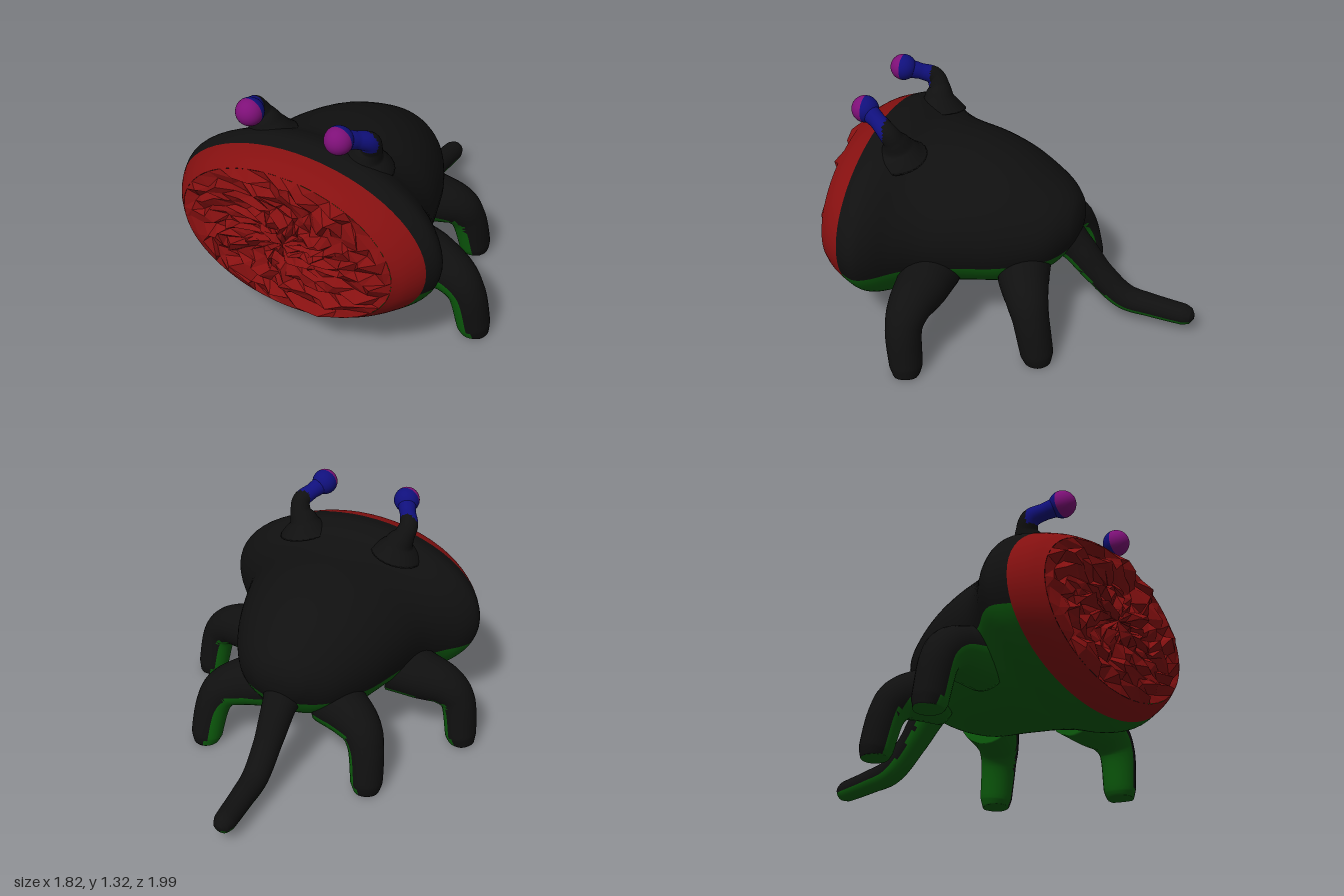
import * as THREE from 'three';
import { mergeVertices } from 'three/addons/utils/BufferGeometryUtils.js';

const V = (x, y, z) => new THREE.Vector3(x, y, z);
const mat = (color, flatShading = false) =>
  new THREE.MeshStandardMaterial({ color, flatShading, side: THREE.DoubleSide });
const MATS = {
  black: mat(0x101010), green: mat(0x0c5c0c), red: mat(0x861010),
  blue: mat(0x10107c), purple: mat(0x7e1078),
};

// Seeded random numbers for the torn mouth
let seed = 7;
const rand = () => {
  seed = (seed * 16807) % 2147483647;
  return seed / 2147483647;
};

// Skin closed rings of equal length, back to front along their axis
function loft(rings) {
  const n = rings[0].length, index = [];
  for (let i = 0; i < rings.length - 1; i++)
    for (let j = 0; j < n; j++) {
      const a = i * n + j, b = i * n + (j + 1) % n;
      index.push(a, b, a + n, b, b + n, a + n);
    }
  let geo = new THREE.BufferGeometry().setFromPoints(rings.flat());
  geo.setIndex(index);
  geo = mergeVertices(geo, 1e-5);
  geo.computeVertexNormals();
  return geo;
}

// Divide a smooth surface into colour zones that share their normals
function zones(name, geo, pick) {
  const group = new THREE.Group();
  group.name = name;
  const p = geo.attributes.position, idx = geo.index.array, sets = {};
  const t = new THREE.Triangle(), c = V(), n = V();
  for (let i = 0; i < idx.length; i += 3) {
    t.setFromAttributeAndIndices(p, idx[i], idx[i + 1], idx[i + 2]);
    if (t.getArea() < 1e-9) continue;
    t.getMidpoint(c);
    t.getNormal(n);
    (sets[pick(c, n)] ??= []).push(idx[i], idx[i + 1], idx[i + 2]);
  }
  for (const [key, list] of Object.entries(sets)) {
    const g = new THREE.BufferGeometry();
    g.setAttribute('position', p);
    g.setAttribute('normal', geo.attributes.normal);
    g.setIndex(list);
    const mesh = new THREE.Mesh(g, MATS[key]);
    mesh.name = `${name} ${key} zone`;
    group.add(mesh);
  }
  return group;
}

// Tapered limb through [x, y, z, radius] points, closed at both ends
function limb(points, ref, steps = 8, sides = 24) {
  const curve = new THREE.CatmullRomCurve3(points.map(p => V(p[0], p[1], p[2])));
  const count = (points.length - 1) * steps, rings = [];
  const ring = (t, r) => {
    const c = curve.getPoint(t), d = curve.getTangent(t);
    const u = ref.clone().addScaledVector(d, -ref.dot(d)).normalize();
    const v = d.clone().cross(u);
    rings.push(Array.from({ length: sides }, (_, j) => {
      const a = j / sides * Math.PI * 2;
      const q = c.clone().addScaledVector(u, r * Math.cos(a)).addScaledVector(v, r * Math.sin(a));
      q.y = Math.max(q.y, 0);
      return q;
    }));
  };
  ring(0, 0);
  for (let i = 0; i <= count; i++) {
    const k = Math.min(Math.floor(i / steps), points.length - 2), f = i / steps - k;
    ring(i / count, THREE.MathUtils.lerp(points[k][3], points[k + 1][3], f));
  }
  ring(1, 0);
  return loft(rings);
}

// Body stations: z, half width, top, bottom
const STATIONS = [
  [-0.345, 0, 0.62, 0.62], [-0.335, 0.09, 0.68, 0.54], [-0.3, 0.175, 0.75, 0.46],
  [-0.2, 0.3, 0.83, 0.34], [0, 0.42, 0.94, 0.24], [0.2, 0.495, 1.0, 0.215],
  [0.4, 0.56, 1.025, 0.19], [0.52, 0.64, 1.045, 0.165], [0.62, 0.735, 1.085, 0.135],
  [0.7, 0.775, 1.1, 0.13], [0.79, 0.74, 1.08, 0.155], [0.87, 0.685, 1.055, 0.18],
  [0.93, 0.625, 1.02, 0.21],
];
const BELLY = 0.48;

function buildBody() {
  const widths = new THREE.CatmullRomCurve3(STATIONS.map(s => V(s[0], s[1], 0)), false, 'catmullrom');
  const heights = new THREE.CatmullRomCurve3(STATIONS.map(s => V(s[0], s[2], s[3])), false, 'catmullrom');
  const rings = [], half = 36, count = (STATIONS.length - 1) * 5;
  for (let i = 0; i <= count; i++) {
    const { x: z, y: w } = widths.getPoint(i / count);
    const { y: top, z: bottom } = heights.getPoint(i / count);
    const cy = (top + bottom) / 2, h = Math.max((top - bottom) / 2, 1e-6);
    // Each ring starts on the belly line, so the colour border is straight
    const a0 = Math.asin(THREE.MathUtils.clamp((BELLY - cy) / h, -1, 1));
    rings.push(Array.from({ length: half * 2 }, (_, j) => {
      const a = j < half
        ? a0 + (Math.PI - 2 * a0) * j / half
        : Math.PI - a0 + (Math.PI + 2 * a0) * (j - half) / half;
      return V(Math.max(w, 0) * Math.cos(a), cy + h * Math.sin(a), z);
    }));
  }
  return zones('body', loft(rings), c => c.z > 0.79 ? 'red' : c.y < BELLY ? 'green' : 'black');
}

// Ragged disc filling the front of the body
function buildMouth() {
  const rings = [], sides = 40, count = 10;
  for (let i = 0; i <= count; i++) {
    const r = 1 - i / count;
    rings.push(Array.from({ length: sides }, (_, j) => {
      const inner = i > 0 && i < count;
      const a = (j + (inner ? (rand() - 0.5) * 1.1 : 0)) / sides * Math.PI * 2;
      const q = r + (inner ? (rand() - 0.5) * 0.1 : 0);
      const z = i === 0 ? 0.93 : i === count ? 0.94 : 0.915 + rand() ** 2 * 0.075;
      return V(0.625 * q * Math.cos(a), 0.615 + 0.405 * q * Math.sin(a), z);
    }));
  }
  const mesh = new THREE.Mesh(loft(rings), mat(0x861010, true));
  mesh.name = 'mouth';
  return mesh;
}

function buildLeg(name, s, points) {
  const geo = limb(points.map(([x, y, z, r]) => [s * x, y, z, r]), V(0, 0, 1));
  const inward = V(-s, -0.9, 0.25).normalize();
  return zones(name, geo, (c, n) => n.dot(inward) > 0.2 ? 'green' : 'black');
}

function buildEye(name, s) {
  const group = new THREE.Group();
  group.name = name;
  const stalk = limb([
    [s * 0.285, 1.0, 0.6, 0.15], [s * 0.3, 1.07, 0.605, 0.085], [s * 0.325, 1.125, 0.615, 0.058],
    [s * 0.335, 1.175, 0.645, 0.052], [s * 0.3, 1.21, 0.71, 0.045], [s * 0.257, 1.24, 0.79, 0.055],
  ], V(1, 0, 0));
  group.add(zones(`${name} stalk`, stalk, c => c.z > 0.65 && c.y > 1.13 ? 'blue' : 'black'));
  // Eyeball: purple front half, blue back half
  for (const [part, colour, turn] of [['front', 'purple', 1], ['back', 'blue', -1]]) {
    const ball = new THREE.Mesh(
      new THREE.SphereGeometry(0.073, 28, 12, 0, Math.PI * 2, 0, Math.PI / 2), MATS[colour]);
    ball.rotation.x = turn * Math.PI / 2;
    ball.position.set(s * 0.257, 1.243, 0.797);
    ball.name = `${name} ball ${part}`;
    group.add(ball);
  }
  return group;
}

export function createModel() {
  const model = new THREE.Group();
  model.name = 'creature';
  model.add(buildBody(), buildMouth());

  for (const [side, s] of [['left', 1], ['right', -1]]) {
    model.add(buildLeg(`${side} front leg`, s, [
      [0.4, 0.41, 0.385, 0.16], [0.56, 0.385, 0.39, 0.145], [0.7, 0.345, 0.405, 0.118],
      [0.775, 0.27, 0.41, 0.1], [0.82, 0.05, 0.39, 0.09], [0.835, -0.01, 0.385, 0.07],
    ]));
    model.add(buildLeg(`${side} rear leg`, s, [
      [0.2, 0.4, -0.07, 0.15], [0.32, 0.38, -0.11, 0.14], [0.43, 0.33, -0.165, 0.115],
      [0.475, 0.25, -0.2, 0.1], [0.505, 0.05, -0.245, 0.09], [0.51, -0.01, -0.255, 0.07],
    ]));
    model.add(buildEye(`${side} eye`, s));
  }

  // Tail drooping to the ground behind
  const tail = limb([
    [0, 0.53, -0.2, 0.13], [0, 0.44, -0.31, 0.095], [0, 0.28, -0.45, 0.078],
    [0, 0.155, -0.6, 0.073], [0, 0.13, -0.75, 0.066], [0, 0.112, -0.94, 0.06],
    [0, 0.109, -0.98, 0.045], [0, 0.108, -1.0, 0.015],
  ], V(1, 0, 0));
  model.add(zones('tail', tail, (c, n) => n.y < -0.3 ? 'green' : 'black'));
  return model;
}
